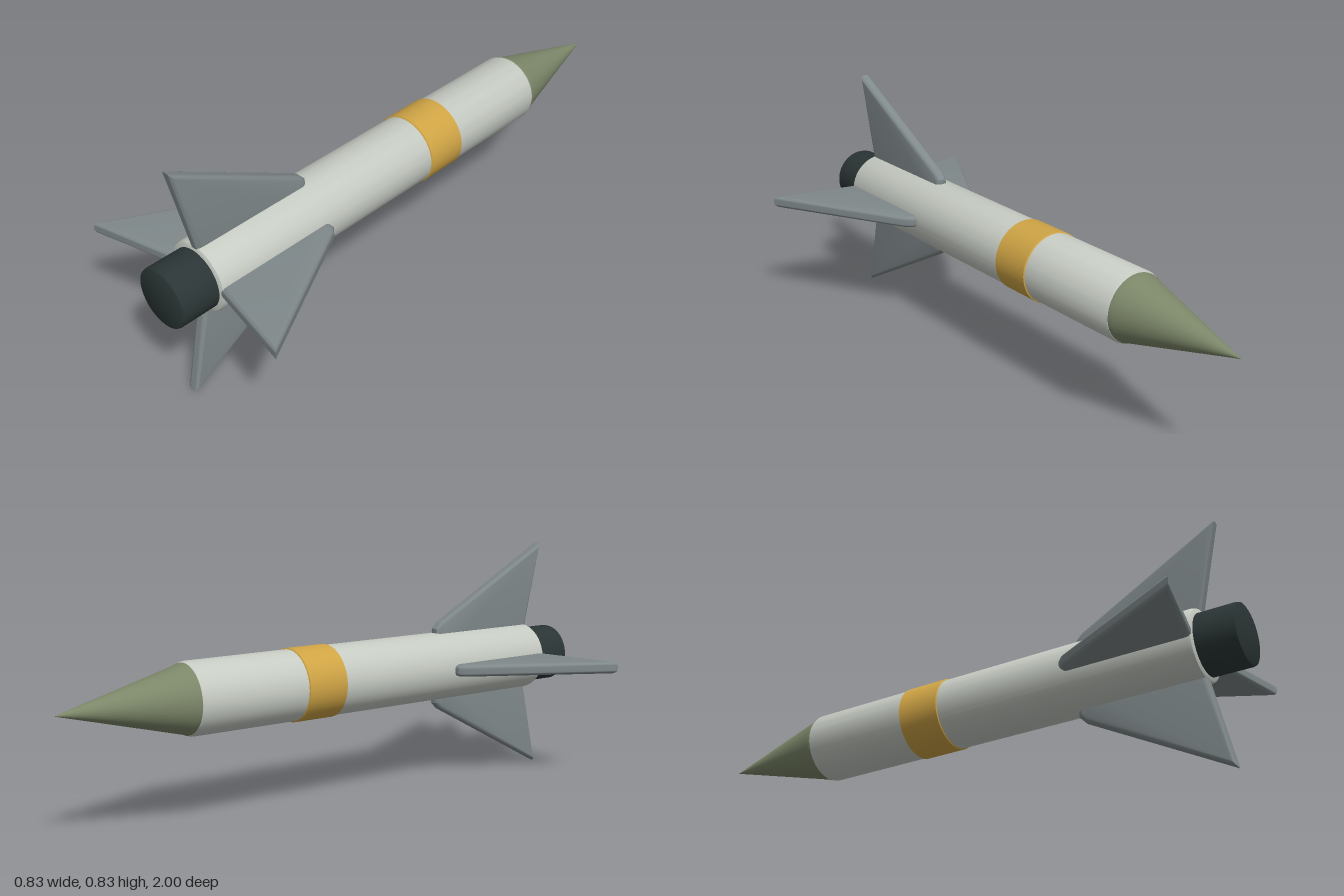
import * as THREE from 'three';
import { toCreasedNormals } from 'three/addons/utils/BufferGeometryUtils.js';

const paint = (name, color) => {
  const m = new THREE.MeshStandardMaterial({ color });
  m.name = name;
  return m;
};

export function createModel() {
  const white = paint('off white', 0xc6cbc3);
  const gold = paint('gold', 0xcfa445);
  const olive = paint('olive green', 0x7c8769);
  const grey = paint('fin grey', 0x7f888a);
  const dark = paint('charcoal', 0x2b3535);

  const model = new THREE.Group();
  model.name = 'rocket';
  const rocket = new THREE.Group();
  rocket.name = 'airframe';
  rocket.position.y = 0.414;
  model.add(rocket);

  // Round part along z from [radius, z] pairs, nose to tail
  const turned = (name, material, profile) => {
    const points = profile.map(([r, z]) => new THREE.Vector2(r, z));
    const geometry = new THREE.LatheGeometry(points, 48).rotateX(Math.PI / 2);
    const mesh = new THREE.Mesh(toCreasedNormals(geometry, 0.6), material);
    mesh.name = name;
    rocket.add(mesh);
  };

  turned('noseCone', olive, [
    [0, -1], [0.108, -0.588], [0.113, -0.575], [0.113, -0.569], [0.109, -0.565], [0, -0.565],
  ]);
  turned('body', white, [
    [0, -0.572], [0.108, -0.572], [0.114, -0.57], [0.118, -0.56],
    [0.118, 0.854], [0.115, 0.863], [0.108, 0.867], [0, 0.867],
  ]);
  turned('band', gold, [
    [0.117, -0.182], [0.122, -0.179], [0.122, -0.033], [0.117, -0.03],
  ]);
  turned('nozzle', dark, [
    [0, 0.84], [0.1, 0.84], [0.1, 0.99], [0.098, 0.997], [0.092, 1], [0, 1],
  ]);

  // Swept fin with rounded edges; outline is radius against z
  const outline = new THREE.Shape([
    [0.05, 0.455], [0.125, 0.455], [0.14, 0.469], [0.39, 0.916], [0.05, 0.833],
  ].map(([r, z]) => new THREE.Vector2(r, z)));
  const finGeometry = toCreasedNormals(
    new THREE.ExtrudeGeometry(outline, {
      depth: 0.01, bevelThickness: 0.016, bevelSize: 0.02, bevelSegments: 5,
    }).translate(0, 0, -0.005).rotateX(Math.PI / 2),
    0.6,
  );

  ['leftFin', 'topFin', 'rightFin', 'bottomFin'].forEach((name, i) => {
    const fin = new THREE.Mesh(finGeometry, grey);
    fin.name = name;
    fin.rotation.z = i * Math.PI / 2;
    rocket.add(fin);
  });

  return model;
}
